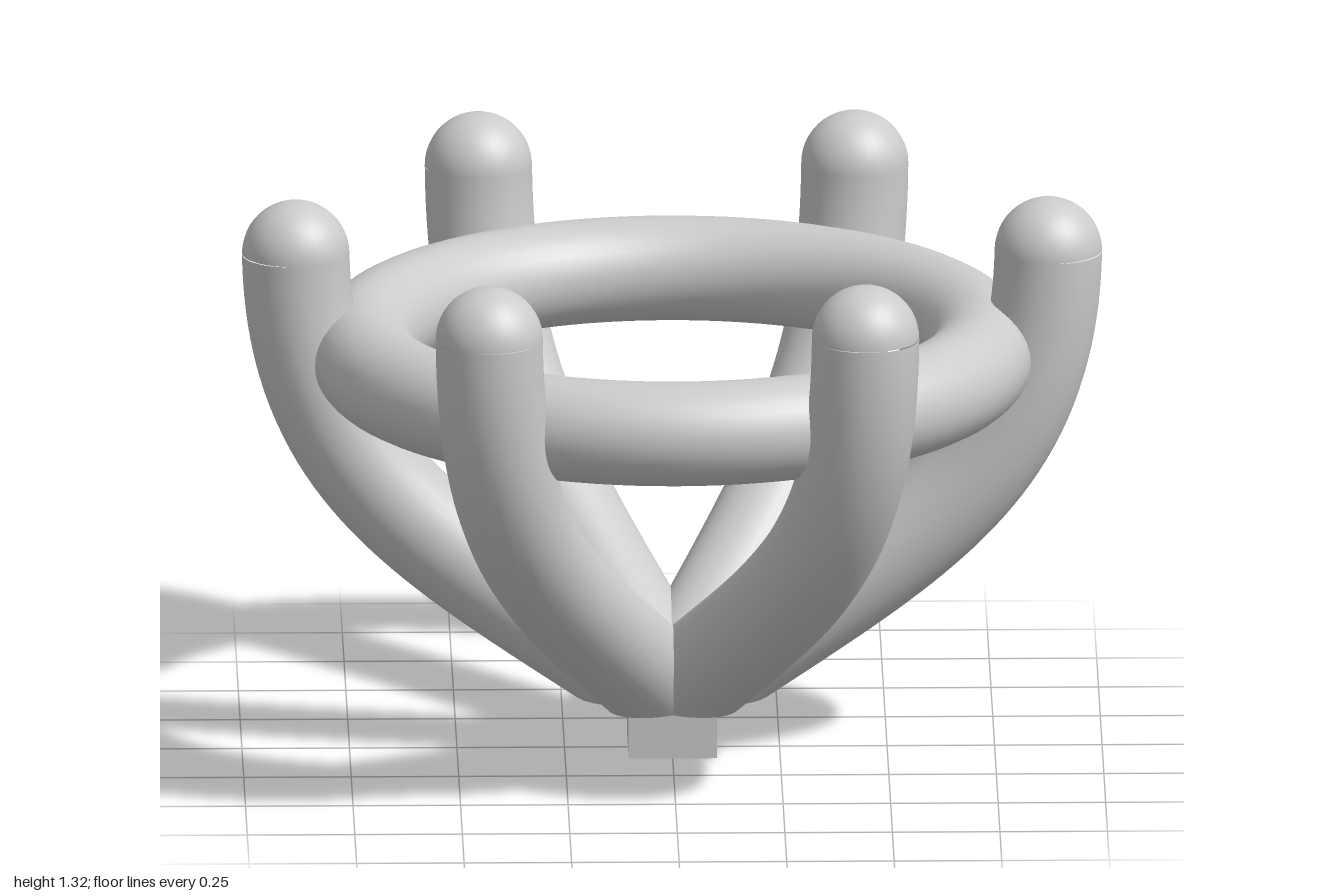
import * as THREE from 'three';

const R = 0.125;      // prong thickness
const BASE = 0.125;   // height where the prongs are cut flat

export function createModel() {
  const model = new THREE.Group();
  const material = new THREE.MeshStandardMaterial({ color: 0xcccccc });
  const add = (name, geometry, parent = model) => {
    const mesh = new THREE.Mesh(geometry, material);
    mesh.name = name;
    parent.add(mesh);
    return mesh;
  };

  // Square peg under the setting
  add('basePeg', new THREE.BoxGeometry(0.205, BASE, 0.205)).position.y = BASE / 2;

  // Ring joining the prongs
  const ring = add('ring', new THREE.TorusGeometry(0.72, 0.122, 32, 96));
  ring.rotation.x = Math.PI / 2;
  ring.position.y = 0.955;

  // Curved prong, its lower end slid along the axis onto the base plane
  const path = new THREE.CubicBezierCurve3(
    new THREE.Vector3(0, BASE, 0),
    new THREE.Vector3(0.53, 0.49, 0),
    new THREE.Vector3(0.865, 0.64, 0),
    new THREE.Vector3(0.875, 1.195, 0)
  );
  const sides = 32;
  const stem = new THREE.TubeGeometry(path, 48, R, sides);
  const dir = path.getTangent(0);
  const pos = stem.attributes.position;
  for (let i = 0; i < pos.count; i++) {
    const y = pos.getY(i);
    if (i <= sides || y < BASE) {
      pos.setXY(i, pos.getX(i) + ((BASE - y) * dir.x) / dir.y, BASE);
    }
  }

  // Flat elliptical underside of a prong
  const foot = new THREE.CircleGeometry(R, sides);
  foot.scale(1 / dir.y, 1, 1);
  foot.rotateX(Math.PI / 2);
  foot.translate(0, BASE, 0);

  // Rounded tip
  const tip = new THREE.SphereGeometry(R, 32, 12, 0, Math.PI * 2, 0, Math.PI / 2);
  tip.translate(0.875, 1.195, 0);

  for (let i = 0; i < 6; i++) {
    const prong = new THREE.Group();
    prong.name = 'prong' + (i + 1);
    add('prongStem', stem, prong);
    add('prongFoot', foot, prong);
    add('prongTip', tip, prong);
    prong.rotation.y = (i * Math.PI) / 3;
    model.add(prong);
  }
  return model;
}
